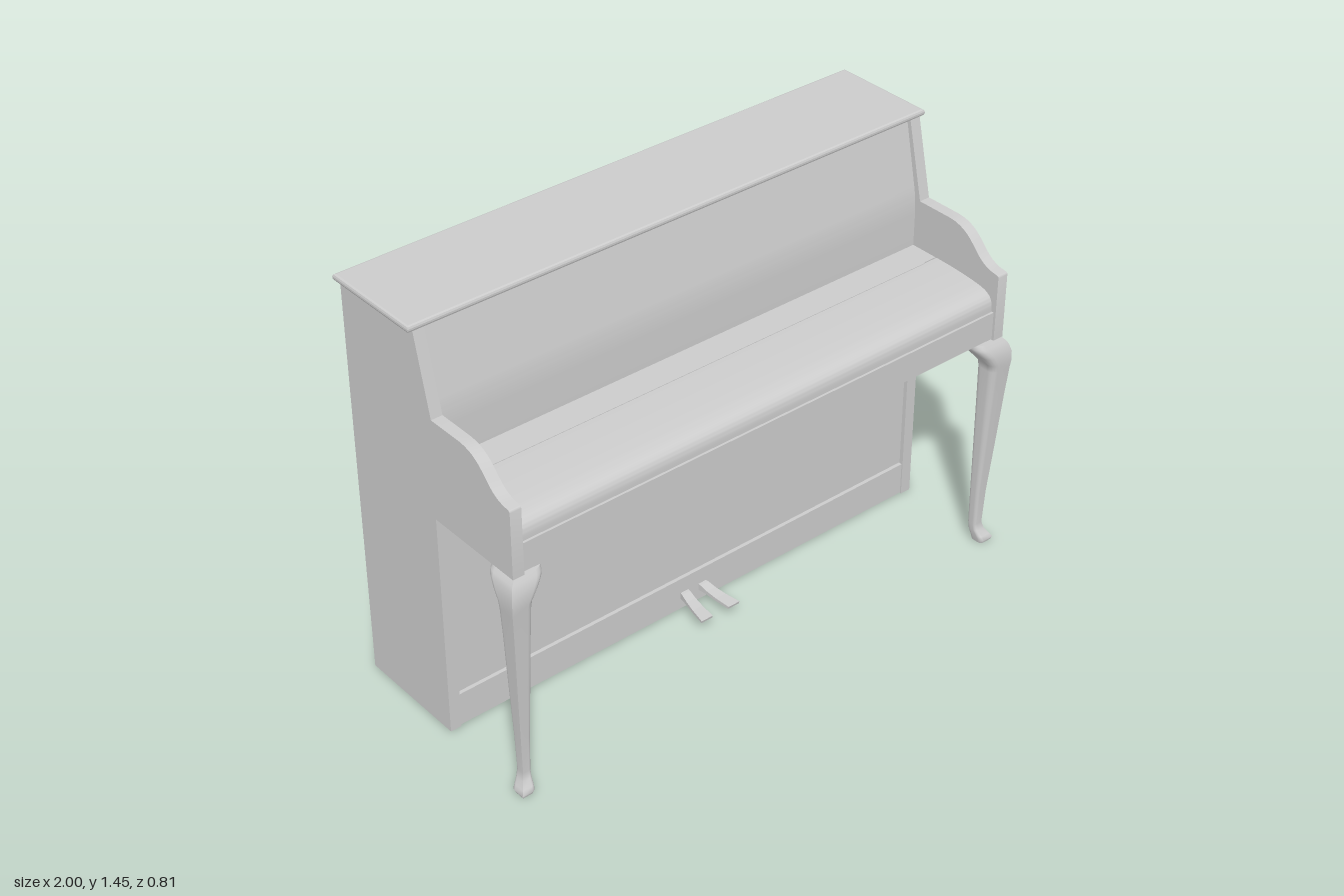
import * as THREE from 'three';
import { toCreasedNormals } from 'three/addons/utils/BufferGeometryUtils.js';

const material = new THREE.MeshStandardMaterial({ color: 0xcccccc });

function addMesh(parent, name, geometry) {
  const mesh = new THREE.Mesh(geometry, material);
  mesh.name = name;
  parent.add(mesh);
  return mesh;
}

function addBox(parent, name, [x0, x1], [y0, y1], [z0, z1]) {
  const g = new THREE.BoxGeometry(x1 - x0, y1 - y0, z1 - z0);
  g.translate((x0 + x1) / 2, (y0 + y1) / 2, (z0 + z1) / 2);
  return addMesh(parent, name, g);
}

// Extrude a (z, y) profile along x, centred on the given x
function profileGeometry(shape, width, x = 0) {
  const g = new THREE.ExtrudeGeometry(shape, { depth: width, bevelEnabled: false, curveSegments: 14 });
  g.rotateY(-Math.PI / 2);
  g.translate(x + width / 2, 0, 0);
  return toCreasedNormals(g, 0.5);
}

function polygon(points) {
  return new THREE.Shape(points.map(([z, y]) => new THREE.Vector2(z, y)));
}

// Side cheek: tall case end with the scrolled arm
function sideShape() {
  const s = new THREE.Shape();
  s.moveTo(-0.395, 0);
  s.lineTo(0.015, 0);
  s.lineTo(0.015, 0.812);
  s.lineTo(0.385, 0.812);
  s.lineTo(0.385, 1.045);
  s.quadraticCurveTo(0.385, 1.052, 0.372, 1.053);
  s.bezierCurveTo(0.27, 1.06, 0.28, 1.16, 0.16, 1.165);
  s.lineTo(0.025, 1.165);
  s.lineTo(-0.037, 1.432);
  s.lineTo(-0.395, 1.432);
  return s;
}

// Fallboard with a rolled front edge
function fallboardShape() {
  const s = new THREE.Shape();
  s.moveTo(0.115, 0.9);
  s.lineTo(0.368, 0.9);
  s.lineTo(0.368, 0.925);
  s.bezierCurveTo(0.368, 0.965, 0.35, 0.98, 0.3, 0.987);
  s.quadraticCurveTo(0.22, 0.997, 0.115, 0.997);
  return s;
}

// Curved leg: lofted square section with one sharp outer corner, three rounded ones
function legGeometry() {
  // y, inner x, outer x, inner z, outer z
  const levels = [
    [0, 0.94, 0.985, 0.345, 0.395], [0.012, 0.937, 0.99, 0.343, 0.4],
    [0.025, 0.935, 0.982, 0.34, 0.392], [0.045, 0.932, 0.97, 0.336, 0.376],
    [0.07, 0.931, 0.963, 0.334, 0.37], [0.2, 0.929, 0.968, 0.333, 0.374],
    [0.4, 0.926, 0.98, 0.331, 0.387], [0.6, 0.923, 0.991, 0.329, 0.4],
    [0.7, 0.921, 0.998, 0.328, 0.407], [0.725, 0.918, 1, 0.324, 0.41],
    [0.76, 0.892, 0.999, 0.297, 0.409], [0.785, 0.87, 0.992, 0.272, 0.401],
    [0.798, 0.863, 0.985, 0.266, 0.394], [0.812, 0.863, 0.972, 0.266, 0.385],
  ];
  const ring = [[1, 1]];
  for (const [cx, cz, start] of [[0.7, 0.3, 0], [0.3, 0.3, 1], [0.3, 0.7, 2]]) {
    for (let i = 0; i <= 4; i++) {
      const a = -(start + i / 4) * Math.PI / 2;
      ring.push([cx + 0.3 * Math.cos(a), cz + 0.3 * Math.sin(a)]);
    }
  }
  ring.push([1, 1]);
  const n = ring.length, pos = [], index = [];
  const addRing = ([y, x0, x1, z0, z1]) => {
    for (const [u, v] of ring) pos.push(x0 + u * (x1 - x0), y, z0 + v * (z1 - z0));
  };
  levels.forEach(addRing);
  for (let j = 0; j < levels.length - 1; j++) {
    for (let i = 0; i < n - 1; i++) {
      const a = j * n + i, b = a + n;
      index.push(a, a + 1, b, b, a + 1, b + 1);
    }
  }
  // Separate rings for the flat ends
  [levels[0], levels.at(-1)].forEach((level, end) => {
    const base = pos.length / 3;
    addRing(level);
    for (let i = 1; i < n - 2; i++) {
      if (end) index.push(base, base + i, base + i + 1);
      else index.push(base, base + i + 1, base + i);
    }
  });
  const g = new THREE.BufferGeometry();
  g.setAttribute('position', new THREE.Float32BufferAttribute(pos, 3));
  // Winding follows the clockwise ring, so the faces point outwards
  g.setIndex(index);
  g.computeVertexNormals();
  return g;
}

// Pedal: bent bar that widens and swings outwards towards its tip
function pedalGeometry() {
  const shape = polygon([
    [0, 0.04], [0.04, 0.042], [0.09, 0.038], [0.145, 0.037],
    [0.147, 0.046], [0.09, 0.049], [0.05, 0.055], [0.02, 0.064], [0, 0.066],
  ]);
  const g = profileGeometry(shape, 1, 0.5);
  const p = g.attributes.position;
  for (let i = 0; i < p.count; i++) {
    const t = p.getZ(i) / 0.147;
    p.setX(i, 0.02 + 0.014 * t + p.getX(i) * (0.032 + 0.014 * t));
  }
  g.computeVertexNormals();
  return g;
}

// Reflect a geometry across x = 0, keeping its faces outwards
function mirrored(geometry) {
  const g = geometry.index ? geometry.toNonIndexed() : geometry.clone();
  for (const name of ['position', 'normal']) {
    const a = g.attributes[name];
    for (let i = 0; i < a.count; i++) a.setX(i, -a.getX(i));
    for (let i = 0; i < a.count; i += 3) {
      for (const get of ['X', 'Y', 'Z']) {
        const v = a['get' + get](i);
        a['set' + get](i, a['get' + get](i + 1));
        a['set' + get](i + 1, v);
      }
    }
  }
  return g;
}

export function createModel() {
  const piano = new THREE.Group();
  piano.name = 'uprightPiano';
  const inner = [-0.936, 0.936];

  // Case ends, legs and pedals in mirrored pairs
  const pairs = [
    ['SidePanel', profileGeometry(sideShape(), 0.04, 0.955)],
    ['Leg', legGeometry()],
    ['Pedal', pedalGeometry()],
  ];
  for (const [name, geometry] of pairs) {
    addMesh(piano, 'left' + name, geometry);
    addMesh(piano, 'right' + name, mirrored(geometry));
  }

  // Case between the ends
  addBox(piano, 'backPanel', inner, [0.004, 1.432], [-0.388, -0.36]);
  addBox(piano, 'bottomBoard', inner, [0.004, 0.04], [-0.36, 0]);
  addBox(piano, 'lowerPanel', inner, [0.125, 0.815], [-0.03, 0]);
  addBox(piano, 'kickBoard', inner, [0.002, 0.122], [-0.03, 0.01]);
  const upper = new THREE.Shape();
  upper.moveTo(-0.09, 1.432);
  upper.lineTo(-0.03, 0.97);
  upper.lineTo(0.006, 0.97);
  upper.lineTo(0.006, 1.1);
  upper.quadraticCurveTo(0.006, 1.165, -0.006, 1.215);
  upper.lineTo(-0.052, 1.432);
  addMesh(piano, 'upperPanel', profileGeometry(upper, 1.872));

  // Keyboard area
  addBox(piano, 'keyBed', inner, [0.815, 0.905], [-0.03, 0.365]);
  addBox(piano, 'keySlip', inner, [0.815, 0.914], [0.355, 0.376]);
  addBox(piano, 'fallboardShelf', inner, [0.9, 0.995], [0, 0.108]);
  addMesh(piano, 'fallboard', profileGeometry(fallboardShape(), 1.866));
  addBox(piano, 'fallboardHinge', [-0.88, 0.88], [0.98, 0.999], [0.106, 0.117]);

  // Lid with a softened edge
  const b = 0.008, x = 0.993 - b, z0 = -0.405 + b, z1 = -0.033 - b;
  const lid = new THREE.ExtrudeGeometry(polygon([[-x, -z1], [x, -z1], [x, -z0], [-x, -z0]]), {
    depth: 0.022 - 2 * b, bevelThickness: b, bevelSize: b, bevelSegments: 2,
  });
  lid.rotateX(-Math.PI / 2);
  lid.translate(0, 1.43 + b, 0);
  addMesh(piano, 'lid', lid);

  return piano;
}
